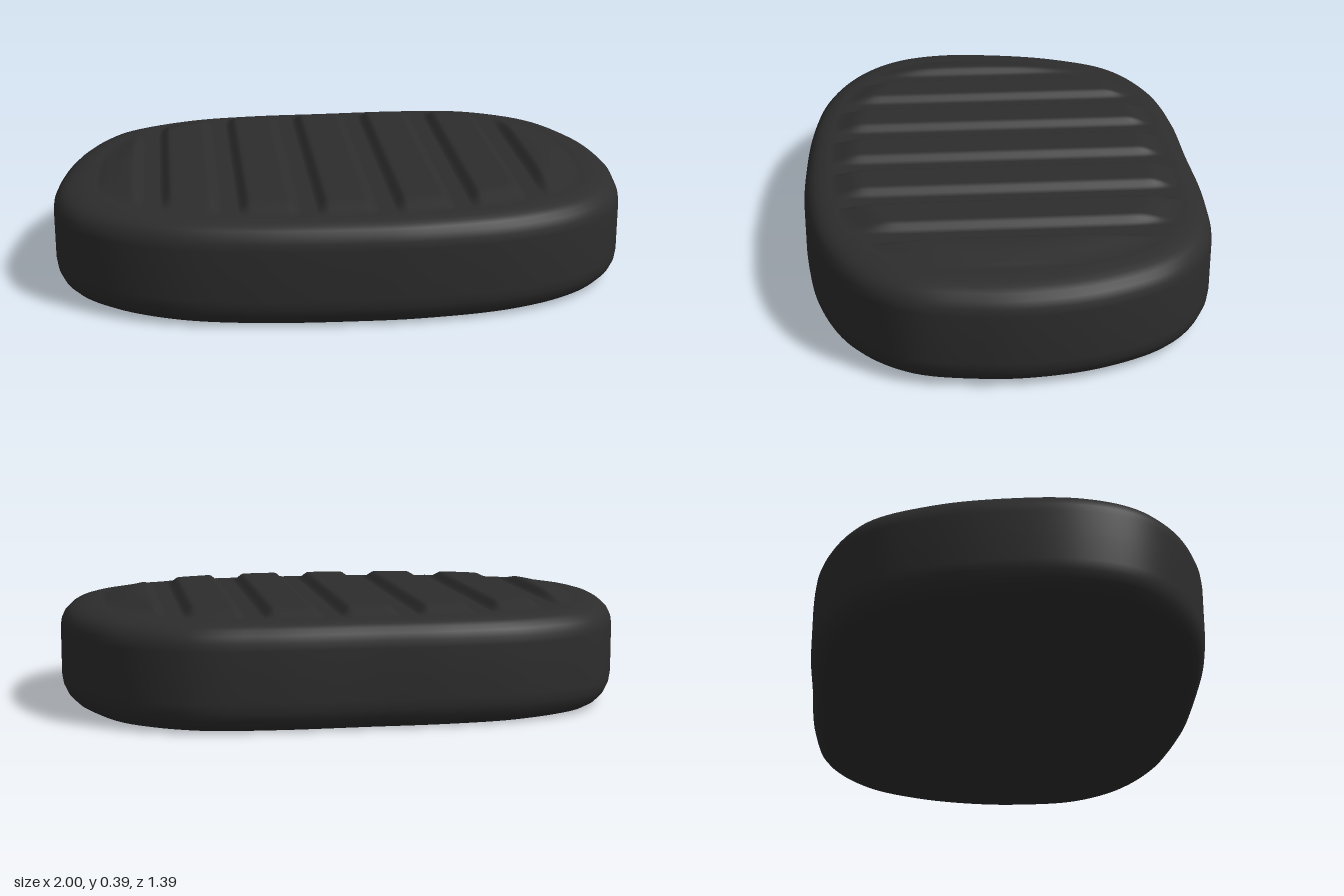
import * as THREE from 'three';

const SEGMENTS = 192;
const CAP_Y = 0.36;
const RIB_RISE = 0.028;

// Slightly lopsided rounded outline, as [x, z]
const outline = new THREE.CatmullRomCurve3([
  [-1, 0.18], [-0.985, -0.05], [-0.925, -0.29], [-0.8, -0.51], [-0.555, -0.64], [-0.29, -0.682],
  [0, -0.689], [0.35, -0.695], [0.615, -0.66], [0.83, -0.52], [0.95, -0.29], [0.995, -0.05],
  [0.99, 0.13], [0.94, 0.35], [0.8, 0.52], [0.565, 0.632], [0.24, 0.684], [0, 0.688],
  [-0.35, 0.667], [-0.615, 0.61], [-0.83, 0.495], [-0.95, 0.36],
].map(([x, z]) => new THREE.Vector3(x, 0, z)), true).getSpacedPoints(SEGMENTS).slice(0, SEGMENTS);

function makeGeometry(positions, index) {
  const geometry = new THREE.BufferGeometry();
  geometry.setAttribute('position', new THREE.Float32BufferAttribute(positions, 3));
  geometry.setIndex(index);
  geometry.computeVertexNormals();
  return geometry;
}

// Body: the outline scaled along a rounded side profile of [scale, y]
function bodyGeometry() {
  const profile = [
    [0, 0], [0.5, 0], [0.88, 0], [0.91, 0.001], [0.935, 0.007], [0.96, 0.02], [0.982, 0.041], [0.995, 0.068],
    [1, 0.1], [1, 0.19], [1, 0.27], [0.996, 0.295], [0.985, 0.318], [0.967, 0.335], [0.945, 0.346],
    [0.92, 0.353], [0.895, 0.357], [0.87, CAP_Y], [0.84, CAP_Y], [0.5, CAP_Y], [0, CAP_Y],
  ];
  const positions = [], index = [];
  profile.forEach(([s, y], j) => {
    outline.forEach((p, i) => {
      positions.push(p.x * s, y, p.z * s);
      if (j === profile.length - 1) return;
      const a = j * SEGMENTS + i, b = j * SEGMENTS + (i + 1) % SEGMENTS;
      if (j > 0) index.push(a, a + SEGMENTS, b);
      if (j < profile.length - 2) index.push(b, a + SEGMENTS, b + SEGMENTS);
    });
  });
  return makeGeometry(positions, index);
}

// Fraction of the way from the centre to the outline
function outlineFraction(x, z) {
  for (let i = 0; i < SEGMENTS; i++) {
    const p = outline[i], q = outline[(i + 1) % SEGMENTS];
    const det = p.x * q.z - p.z * q.x;
    const u = (x * q.z - z * q.x) / det, v = (p.x * z - p.z * x) / det;
    if (u >= 0 && v >= 0) return u + v;
  }
  return 0;
}

// Where a column at x meets the rim of the ribbed area, towards +z or -z
function ribLimit(x, sign) {
  let low = 0, high = 0.75;
  for (let k = 0; k < 16; k++) {
    const mid = (low + high) / 2;
    if (outlineFraction(x, sign * mid) < 0.88) low = mid; else high = mid;
  }
  return sign * low;
}

// Rib: raised strip with sloped walls, fading out towards the rim
function ribGeometry(x0, x1) {
  const wall = 0.042, rows = 56, columns = [];
  for (let k = 0; k <= 6; k++) columns.push(x0 + wall * k / 6);
  for (let k = 1; k < 8; k++) columns.push(x0 + wall + (x1 - x0 - 2 * wall) * k / 8);
  for (let k = 0; k <= 6; k++) columns.push(x1 - wall + wall * k / 6);
  const positions = [], index = [];
  columns.forEach((x, c) => {
    const back = ribLimit(x, -1), front = ribLimit(x, 1);
    const across = THREE.MathUtils.smoothstep(Math.min(x - x0, x1 - x), 0, wall);
    for (let r = 0; r <= rows; r++) {
      // Rows crowd towards both ends
      const t = (1 - Math.cos(Math.PI * r / rows)) / 2;
      const z = back + (front - back) * t;
      const fade = 1 - THREE.MathUtils.smoothstep(outlineFraction(x, z), 0.72, 0.88);
      positions.push(x, CAP_Y - 0.0005 + RIB_RISE * across * fade, z);
      if (c === columns.length - 1 || r === rows) continue;
      const a = c * (rows + 1) + r, b = a + rows + 1;
      index.push(a, a + 1, b, b, a + 1, b + 1);
    }
  });
  return makeGeometry(positions, index);
}

export function createModel() {
  const model = new THREE.Group();
  model.name = 'ribbedPad';
  const rubber = new THREE.MeshStandardMaterial({ color: 0x2d2d2d });
  rubber.name = 'black rubber';

  const body = new THREE.Mesh(bodyGeometry(), rubber);
  body.name = 'padBody';
  model.add(body);

  // Six grooves divide the top into seven ribs
  const grooves = [-0.66, -0.405, -0.147, 0.112, 0.368, 0.625];
  const halfFloor = 0.026;
  for (let i = 0; i <= grooves.length; i++) {
    const x0 = i === 0 ? -0.86 : grooves[i - 1] + halfFloor;
    const x1 = i === grooves.length ? 0.86 : grooves[i] - halfFloor;
    const rib = new THREE.Mesh(ribGeometry(x0, x1), rubber);
    rib.name = `rib${i + 1}`;
    model.add(rib);
  }
  return model;
}
